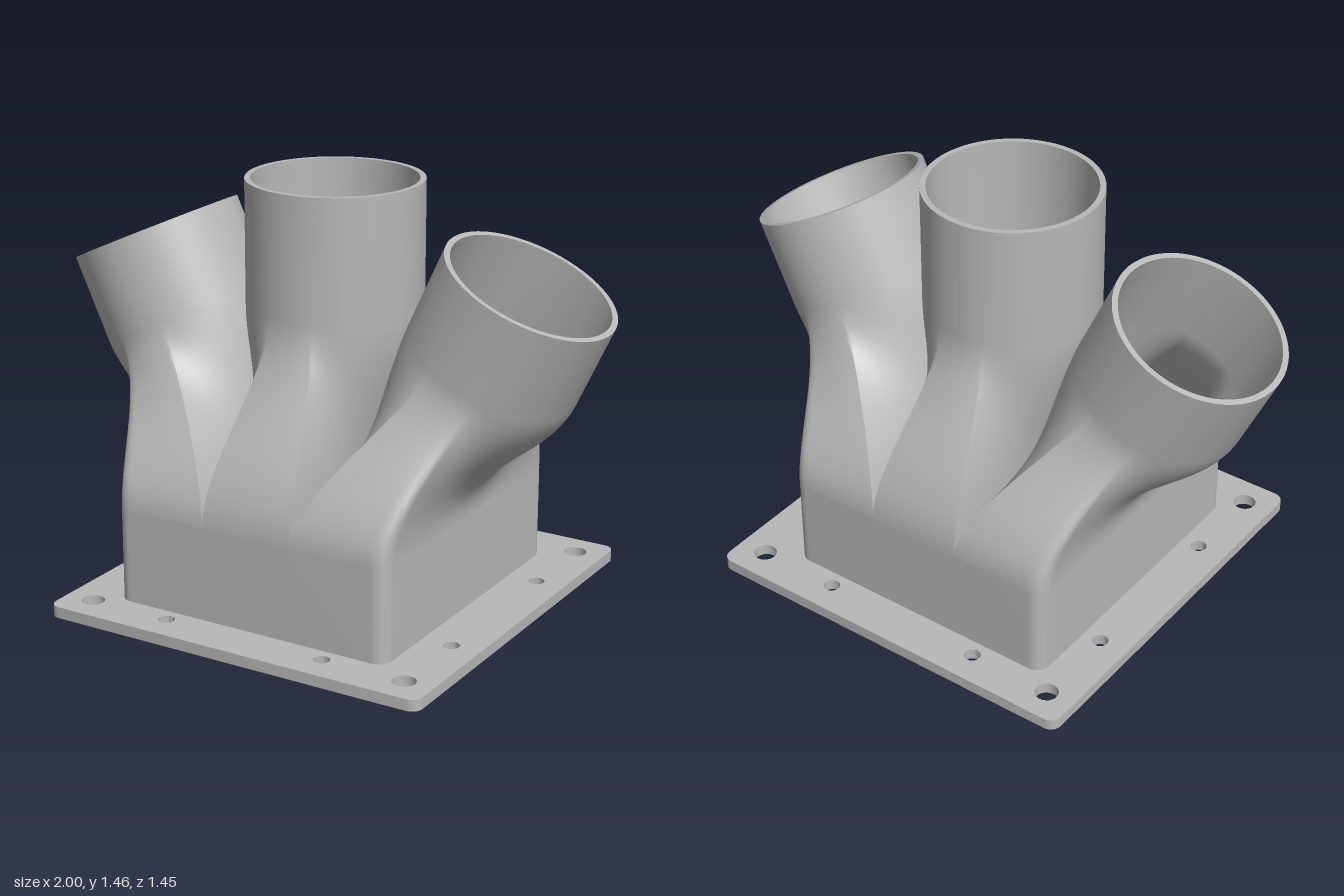
import * as THREE from 'three';
import { toCreasedNormals } from 'three/addons/utils/BufferGeometryUtils.js';

const BASE_Y = 0.37;      // where the ducts leave the box
const LOFT_STEPS = 24;

// Rounded rectangle outline centred on the origin
function roundedRect(target, hw, hd, r) {
  target.moveTo(hw, -hd + r);
  target.absarc(hw - r, hd - r, r, 0, Math.PI / 2);
  target.absarc(-hw + r, hd - r, r, Math.PI / 2, Math.PI);
  target.absarc(-hw + r, -hd + r, r, Math.PI, Math.PI * 1.5);
  target.absarc(hw - r, -hd + r, r, Math.PI * 1.5, Math.PI * 2);
  target.closePath();
  return target;
}

// Horizontal plate extruded upwards
function extrudeUp(shape, height) {
  const geo = new THREE.ExtrudeGeometry(shape, { depth: height, bevelEnabled: false, curveSegments: 12 });
  geo.rotateX(-Math.PI / 2);
  return toCreasedNormals(geo, 0.6);
}

// Points around a rectangle; corners on the side given by roundSide are rounded
function rectPoints(x0, x1, hd, roundSide, r) {
  const hw = (x1 - x0) / 2, cx = (x0 + x1) / 2, pts = [];
  const corners = [[hw, -hd], [hw, hd], [-hw, hd], [-hw, -hd]];
  corners.forEach(([ax, az], i) => {
    const [bx, bz] = corners[(i + 1) % 4];
    const n = i % 2 ? 20 : 64;
    for (let k = 0; k < n; k++) {
      let x = ax + (bx - ax) * k / n, z = az + (bz - az) * k / n;
      const angle = Math.atan2(z, x);
      const px = roundSide * x - (hw - r), pz = Math.abs(z) - (hd - r);
      if (roundSide && px > 0 && pz > 0) {
        const s = r / Math.hypot(px, pz);
        x = roundSide * (hw - r + px * s);
        z = Math.sign(z) * (hd - r + pz * s);
      }
      pts.push({ x: x + cx, z, angle });
    }
  });
  return pts;
}

// Rings from a rectangle at the base, blended to a circle, then along a straight tube
function ductRings(rect, radius, tilt, joint, tubeLength) {
  const axis = new THREE.Vector3(Math.sin(tilt), Math.cos(tilt), 0);
  const across = new THREE.Vector3(Math.cos(tilt), -Math.sin(tilt), 0);
  const ends = rect.map(p => joint.clone()
    .addScaledVector(across, radius * Math.cos(p.angle))
    .add(new THREE.Vector3(0, 0, radius * Math.sin(p.angle))));
  const rings = [];
  for (let s = 0; s <= LOFT_STEPS; s++) {
    const t = s / LOFT_STEPS, t2 = t * t, t3 = t2 * t;
    rings.push(rect.map((p, i) => {
      const m = joint.y - BASE_Y;
      return new THREE.Vector3(p.x, BASE_Y, p.z).multiplyScalar(2 * t3 - 3 * t2 + 1)
        .add(new THREE.Vector3(0, m * (t3 - 2 * t2 + t), 0))
        .addScaledVector(ends[i], 3 * t2 - 2 * t3)
        .addScaledVector(axis, m * (t3 - t2));
    }));
  }
  rings.push(ends.map(e => e.clone().addScaledVector(axis, tubeLength)));
  return rings;
}

// Skin over a closed sequence of rings: up the outside, over the rim, down the inside
function skin(rings) {
  const n = rings[0].length, index = [];
  rings.forEach((_, r) => {
    const a = r * n, b = ((r + 1) % rings.length) * n;
    for (let j = 0; j < n; j++) {
      const k = (j + 1) % n;
      index.push(a + j, b + j, b + k, a + j, b + k, a + k);
    }
  });
  const geo = new THREE.BufferGeometry().setFromPoints(rings.flat());
  geo.setIndex(index);
  return toCreasedNormals(geo, 0.55);
}

function ductGeometry(outer, inner, side, joint, tubeLength) {
  const tilt = side * THREE.MathUtils.degToRad(25);
  const outside = ductRings(rectPoints(...outer, 0.56, side, 0.05), 0.3, tilt, joint, tubeLength);
  const inside = ductRings(rectPoints(...inner, 0.54, side, 0.03), 0.28, tilt, joint, tubeLength);
  return skin([...outside, ...inside.reverse()]);
}

export function createModel() {
  const model = new THREE.Group();
  model.name = 'ductManifold';
  const metal = new THREE.MeshStandardMaterial({ color: 0xb8b8b8 });
  metal.name = 'grey metal';
  metal.side = THREE.DoubleSide;
  const add = (name, geo) => {
    const mesh = new THREE.Mesh(geo, metal);
    mesh.name = name;
    model.add(mesh);
    return mesh;
  };

  // Mounting flange, slightly off centre, with bolt holes
  const flangeX = 0.02;
  const flange = roundedRect(new THREE.Shape(), 0.71, 0.725, 0.04);
  const opening = roundedRect(new THREE.Path(), 0.5, 0.54, 0.03);
  opening.curves.forEach(c => {
    if (c.isEllipseCurve) c.aX -= flangeX;
    else { c.v1.x -= flangeX; c.v2.x -= flangeX; }
  });
  flange.holes.push(opening);
  const bolt = (x, z, r) => {
    const hole = new THREE.Path();
    hole.absarc(x, z, r, 0, Math.PI * 2);
    flange.holes.push(hole);
  };
  for (const sx of [-1, 1]) for (const sz of [-1, 1]) {
    bolt(sx * 0.605, sz * 0.617, 0.04);
    bolt(sx * 0.302, sz * 0.617, 0.028);
    bolt(sx * 0.605, sz * 0.308, 0.028);
  }
  add('flange', extrudeUp(flange, 0.04)).position.x = flangeX;

  // Hollow rectangular box
  const box = roundedRect(new THREE.Shape(), 0.52, 0.56, 0.05);
  box.holes.push(roundedRect(new THREE.Path(), 0.5, 0.54, 0.03));
  add('plenumBox', extrudeUp(box, BASE_Y - 0.04)).position.y = 0.04;

  // Three ducts, each turning from a rectangle into a round tube
  add('centreDuct', ductGeometry([-0.17, 0.17], [-0.16, 0.16], 0, new THREE.Vector3(0, 1.03, 0), 0.425));
  add('leftDuct', ductGeometry([0.17, 0.52], [0.18, 0.5], 1, new THREE.Vector3(0.595, 0.91, 0), 0.31));
  add('rightDuct', ductGeometry([-0.52, -0.17], [-0.5, -0.18], -1, new THREE.Vector3(-0.595, 0.91, 0), 0.31));

  return model;
}
